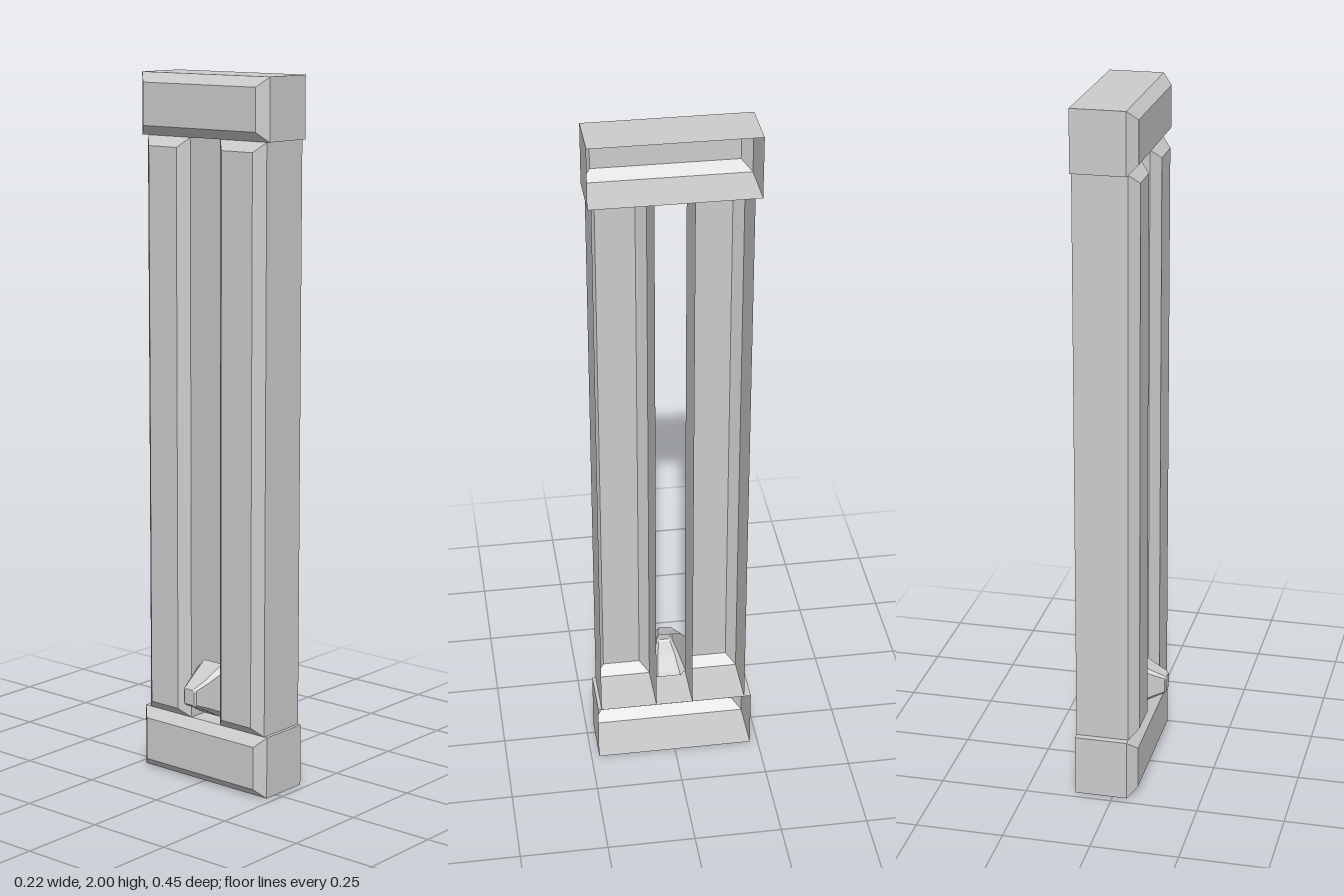
import * as THREE from 'three';

const material = new THREE.MeshStandardMaterial({ color: 0xcccccc, flatShading: true, side: THREE.DoubleSide });

// Rectangle in the yz plane at x, with corners optionally cut off
function ring(x, y0, y1, z0, z1, cut = 0) {
  const pts = cut
    ? [[y0, z0 + cut], [y0 + cut, z0], [y1 - cut, z0], [y1, z0 + cut],
       [y1, z1 - cut], [y1 - cut, z1], [y0 + cut, z1], [y0, z1 - cut]]
    : [[y0, z0], [y1, z0], [y1, z1], [y0, z1]];
  return pts.map(([y, z]) => [x, y, z]);
}

// Shell through rings running towards -x: open at the first, closed at the last
function shell(name, rings) {
  const pos = [];
  const n = rings[0].length;
  for (let r = 0; r < rings.length - 1; r++) {
    const a = rings[r], b = rings[r + 1];
    for (let i = 0; i < n; i++) {
      const j = (i + 1) % n;
      pos.push(...a[i], ...b[i], ...a[j], ...a[j], ...b[i], ...b[j]);
    }
  }
  const end = rings[rings.length - 1];
  for (let i = 1; i < n - 1; i++) pos.push(...end[0], ...end[i + 1], ...end[i]);
  const geometry = new THREE.BufferGeometry();
  geometry.setAttribute('position', new THREE.Float32BufferAttribute(pos, 3));
  geometry.computeVertexNormals();
  const mesh = new THREE.Mesh(geometry, material);
  mesh.name = name;
  return mesh;
}

// Open-backed box with a bevelled face
function bevelledBox(name, y0, y1, z0, z1) {
  const b = 0.027;
  return shell(name, [
    ring(0.11, y0, y1, z0, z1),
    ring(-0.041, y0, y1, z0, z1),
    ring(-0.068, y0 + b, y1 - b, z0 + b, z1 - b),
  ]);
}

export function createModel() {
  const group = new THREE.Group();
  group.name = 'frame';

  // End blocks
  group.add(bevelledBox('bottomBlock', 0, 0.178, -0.227, 0.227));
  group.add(bevelledBox('topBlock', 1.828, 2, -0.227, 0.227));

  // Upright rails
  group.add(bevelledBox('frontRail', 0.178, 1.828, 0.055, 0.217));
  group.add(bevelledBox('backRail', 0.178, 1.828, -0.207, -0.052));

  // Tapered hollow knob in the slot: x, half height, half width, corner cut
  const knob = [
    [-0.005, 0.079, 0.049, 0.016],
    [-0.018, 0.073, 0.046, 0.014],
    [-0.068, 0.045, 0.034, 0.009],
    [-0.106, 0.027, 0.023, 0.006],
    [-0.11, 0.022, 0.018, 0.005],
  ];
  group.add(shell('knob', knob.map(([x, h, w, c]) => ring(x, 0.266 - h, 0.266 + h, -w, w, c))));

  return group;
}
